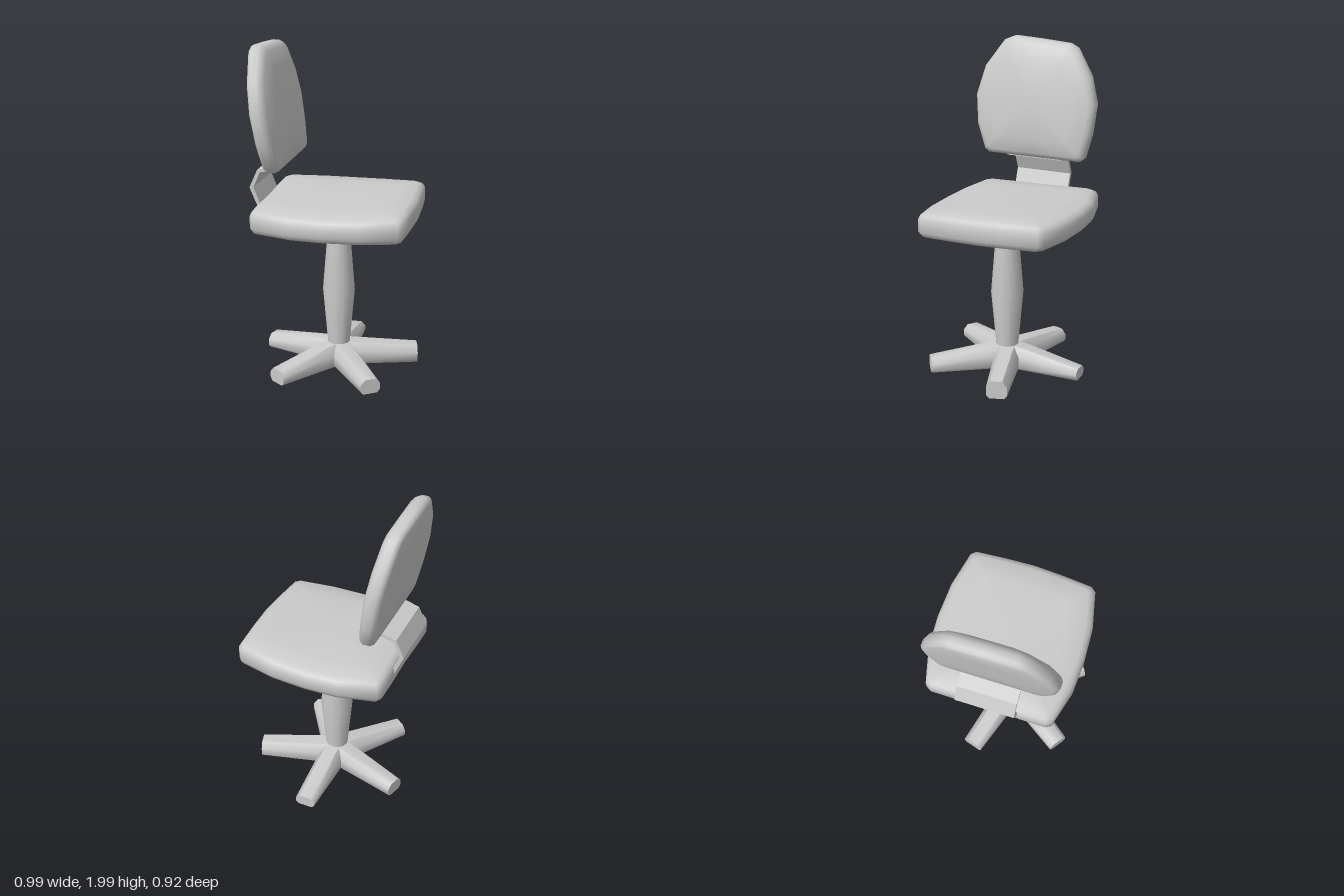
import * as THREE from 'three';
import { toCreasedNormals } from 'three/addons/utils/BufferGeometryUtils.js';

const material = new THREE.MeshStandardMaterial({ color: 0xcccccc });

// Skins a list of equal-sized rings and closes both ends with a fan.
function loft(rings, crease) {
  const n = rings[0].length;
  const points = rings.flat();
  const index = [];
  for (let r = 0; r < rings.length - 1; r++) {
    for (let i = 0; i < n; i++) {
      const a = r * n + i, b = r * n + (i + 1) % n;
      index.push(a, b, b + n, a, b + n, a + n);
    }
  }
  const cap = (ring, start, flip) => {
    const centre = ring.reduce((s, p) => s.add(p), new THREE.Vector3()).divideScalar(n);
    const c = points.push(centre) - 1;
    for (let i = 0; i < n; i++) {
      const a = start + i, b = start + (i + 1) % n;
      index.push(...(flip ? [c, b, a] : [c, a, b]));
    }
  };
  cap(rings[0], 0, true);
  cap(rings[rings.length - 1], (rings.length - 1) * n, false);

  // Turn the faces outward if the enclosed volume is negative.
  let volume = 0;
  const cross = new THREE.Vector3();
  for (let i = 0; i < index.length; i += 3) {
    cross.crossVectors(points[index[i + 1]], points[index[i + 2]]);
    volume += points[index[i]].dot(cross);
  }
  if (volume < 0) index.reverse();

  const geometry = new THREE.BufferGeometry().setFromPoints(points);
  geometry.setIndex(index);
  return toCreasedNormals(geometry, crease);
}

function part(group, name, geometry) {
  const mesh = new THREE.Mesh(geometry, material);
  mesh.name = name;
  group.add(mesh);
  return mesh;
}

// Rounded pad: the outline shrinks toward its centre as the depth t goes from -1 to 1.
const PAD = [[0.45, -1], [0.9, -1], [0.96, -0.8], [0.99, -0.4],
  [0.99, 0.4], [0.96, 0.8], [0.9, 1], [0.65, 1], [0.35, 1]];
function pad(outline, centre, place) {
  return loft(PAD.map(([s, t]) => outline.map(([u, v]) => place(
    centre[0] + (u - centre[0]) * s / 0.99,
    centre[1] + (v - centre[1]) * s / 0.99, t, s))), 1.0);
}

export function createModel() {
  const chair = new THREE.Group();
  chair.name = 'swivelChair';

  // Seat cushion, slightly domed and dipping along its sides (outline in x, z)
  const half = [[-0.44, 0], [-0.445, 0.2], [-0.445, 0.355], [-0.425, 0.39], [-0.2, 0.45],
    [0, 0.462], [0.22, 0.45], [0.44, 0.4], [0.465, 0.37], [0.48, 0.18]];
  const seatOutline = [...half, [0.488, 0],
    ...half.slice(1).reverse().map(([x, z]) => [x, -z])];
  part(chair, 'seat', pad(seatOutline, [0.02, 0], (x, z, t, s) => {
    const dome = t > 0 ? 0.03 * (1 - s * s) + 0.02 * (x / 0.45) ** 2 : 0;
    return new THREE.Vector3(x, 0.998 + 0.01 * x - 0.025 * z + 0.067 * t + dome, z);
  }));

  // Backrest, leaning back with a padded front (outline in z, y)
  const backOutline = [[0.3, 1.28], [0.33, 1.3], [0.39, 1.45], [0.41, 1.63], [0.36, 1.81],
    [0.24, 1.975], [0.18, 2], [0, 1.99], [-0.19, 1.975], [-0.24, 1.95], [-0.34, 1.79],
    [-0.385, 1.63], [-0.37, 1.45], [-0.335, 1.3], [-0.31, 1.28], [0, 1.28]];
  part(chair, 'backrest', pad(backOutline, [0.01, 1.63], (z, y, t, s) => {
    const bulge = t > 0 ? 0.055 * (1 - s * s) : 0;
    return new THREE.Vector3(-0.325 - 0.155 * (y - 1.28) + 0.047 * t + bulge, y, z);
  }));

  // Bent flat strip joining the seat to the backrest
  const strip = new THREE.Shape([[-0.32, 1.30], [-0.37, 1.283], [-0.45, 1.26], [-0.5, 1.15],
    [-0.445, 1.02], [-0.4, 0.98], [-0.38, 1.0], [-0.43, 1.04], [-0.475, 1.15],
    [-0.435, 1.245], [-0.36, 1.262], [-0.32, 1.27]].map(p => new THREE.Vector2(...p)));
  const stripGeometry = new THREE.ExtrudeGeometry(strip, { depth: 0.36, bevelEnabled: false });
  stripGeometry.translate(0, 0, -0.18);
  part(chair, 'backSupport', stripGeometry);

  // Swelling column
  const profile = [[0.07, 0.08], [0.07, 0.16], [0.1, 0.5], [0.07, 0.87], [0.078, 0.96]];
  const column = part(chair, 'column', new THREE.LatheGeometry(
    profile.map(p => new THREE.Vector2(...p)), 12));
  column.position.set(0.01, 0, 0.028);

  // Five-legged foot: tip x, tip z and tip height
  const hub = new THREE.Vector3(0.01, 0, 0.02);
  const legs = [[-0.275, 0.42, 0.1], [0.295, 0.42, 0.1], [0.475, -0.12, 0.12],
    [-0.455, -0.12, 0.1], [0.01, -0.46, 0.08]];
  const base = new THREE.Group();
  base.name = 'base';
  chair.add(base);
  for (const [x, z, tipHeight] of legs) {
    const tip = new THREE.Vector3(x, 0, z);
    const side = tip.clone().sub(hub).normalize().cross(new THREE.Vector3(0, 1, 0));
    const section = (k, w, top) => [[-0.7, 0.01], [0.7, 0.01], [1, 0.03], [1, top * 0.68],
      [0.55, top], [-0.55, top], [-1, top * 0.68], [-1, 0.03]].map(([u, y]) =>
      hub.clone().lerp(tip, k).addScaledVector(side, u * w).setY(y));
    part(base, 'leg', loft([section(0, 0.08, 0.16), section(0.25, 0.075, 0.15),
      section(1, 0.063, tipHeight)], 0.9));
  }
  return chair;
}
